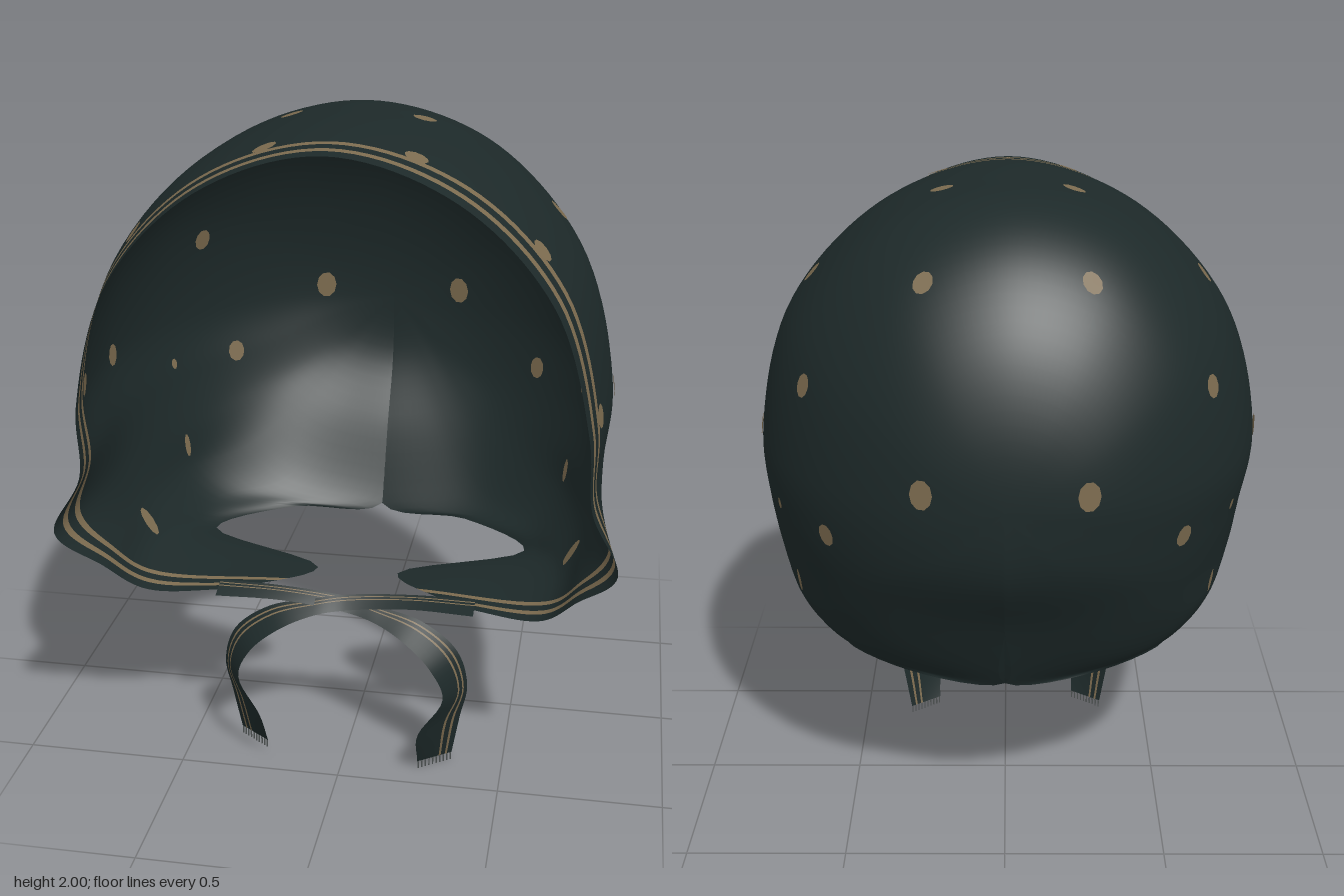
import * as THREE from 'three';

const cloth = new THREE.MeshStandardMaterial({ color: 0x1d2929, side: THREE.DoubleSide });
cloth.name = 'dark green cloth';
const tan = new THREE.MeshStandardMaterial({ color: 0x7c6b4f, side: THREE.DoubleSide });
tan.name = 'tan print';
const thread = new THREE.MeshStandardMaterial({ color: 0x4c5150 });
thread.name = 'grey thread';

const V = (x, y, z) => new THREE.Vector3(x, y, z);
const range = (a, b, n) => Array.from({ length: n + 1 }, (_, i) => a + ((b - a) * i) / n);

// Sheet of rows (v) and columns (u); rows whose middle lies in a band are tan
function sheet(name, point, us, vs, bands) {
  const geo = new THREE.BufferGeometry();
  const pos = [], idx = [], n = us.length;
  for (const v of vs) for (const u of us) pos.push(...point(u, v).toArray());
  for (let j = 0; j < vs.length - 1; j++) {
    const mid = (vs[j] + vs[j + 1]) / 2;
    const start = idx.length;
    for (let i = 0; i < n - 1; i++) {
      const a = j * n + i, b = a + n;
      idx.push(a, a + 1, b, a + 1, b + 1, b);
    }
    geo.addGroup(start, idx.length - start, bands.some(([p, q]) => mid > p && mid < q) ? 1 : 0);
  }
  geo.setAttribute('position', new THREE.Float32BufferAttribute(pos, 3));
  geo.setIndex(idx);
  geo.computeVertexNormals();
  const mesh = new THREE.Mesh(geo, [cloth, tan]);
  mesh.name = name;
  return mesh;
}

// Hood stations from back pole to front rim: z, height above middle, half width, shoulder fullness
const MID = 1.22;
const arches = [
  [-0.59, 0.25, 0.24, 1], [-0.5, 0.48, 0.43, 1], [-0.35, 0.66, 0.6, 1], [-0.15, 0.765, 0.72, 1],
  [0.1, 0.78, 0.778, 1], [0.35, 0.775, 0.768, 0.995], [0.59, 0.75, 0.728, 0.98],
];
// Lower edge of each station: neck edge, jaw, jaw side, cheek and temple points
const lowers = [
  [[0, 1.0, -0.6], [0.1, 1.02, -0.595], [0.15, 1.04, -0.593], [0.19, 1.07, -0.59], [0.225, 1.14, -0.59]],
  [[0, 0.78, -0.48], [0.2, 0.82, -0.48], [0.3, 0.88, -0.487], [0.37, 0.95, -0.49], [0.41, 1.07, -0.497]],
  [[0, 0.54, -0.37], [0.34, 0.62, -0.34], [0.47, 0.74, -0.335], [0.54, 0.88, -0.335], [0.58, 1.04, -0.345]],
  [[0.3, 0.54, -0.29], [0.52, 0.61, -0.2], [0.62, 0.72, -0.17], [0.66, 0.85, -0.15], [0.7, 1.02, -0.15]],
  [[0.52, 0.545, -0.07], [0.61, 0.61, 0.04], [0.69, 0.71, 0.07], [0.735, 0.85, 0.08], [0.757, 1.02, 0.09]],
  [[0.13, 0.53, 0.13], [0.63, 0.6, 0.25], [0.71, 0.7, 0.31], [0.765, 0.84, 0.34], [0.752, 1.02, 0.35]],
  [[0.36, 0.55, 0.36], [0.6, 0.575, 0.45], [0.71, 0.695, 0.54], [0.82, 0.83, 0.62], [0.74, 1.0, 0.595]],
];
const stations = arches.map(([z, h, w, full], k) => {
  const half = lowers[k].map((p) => V(...p));
  const mirror = half.map((p) => V(-p.x, p.y, p.z)).reverse();
  const dome = [0, 30, 60, 90, 120, 150, 180].map((a) => {
    const r = THREE.MathUtils.degToRad(a);
    const f = a % 90 ? full : 1;
    return V(f * w * Math.cos(r) - 0.008, MID + f * h * Math.sin(r), z);
  });
  return new THREE.CatmullRomCurve3([...half, ...dome, ...mirror]);
});

// Lengthwise curve at u; the first point mirrors across the pole to round the back
const columns = new Map();
function hoodPoint(u, v) {
  if (!columns.has(u)) {
    const pts = stations.map((c) => c.getPoint(u));
    const over = V(-pts[0].x, 2 * MID - pts[0].y, pts[0].z);
    columns.set(u, new THREE.CatmullRomCurve3([over, V(0, MID, -0.62), ...pts]));
  }
  return columns.get(u).getPoint((v + 1) / 8);
}

// Printed dot on the inside and outside of the hood, nearest to a target point
function addDot(group, target, rx, ry) {
  let best = Infinity, bu = 0, bv = 0;
  for (const u of range(0.01, 0.99, 160)) {
    for (const v of range(0.3, 6.9, 100)) {
      const d = hoodPoint(u, v).distanceToSquared(target);
      if (d < best) { best = d; bu = u; bv = v; }
    }
  }
  const p = hoodPoint(bu, bv), e = 0.01;
  const du = hoodPoint(bu + e, bv).sub(p), dv = hoodPoint(bu, bv + e).sub(p);
  const normal = du.cross(dv).normalize();
  for (const side of [-1, 1]) {
    const dot = new THREE.Mesh(new THREE.CircleGeometry(1, 10), tan);
    dot.name = 'dot';
    dot.scale.set(rx, ry, 1);
    dot.position.copy(p).addScaledVector(normal, side * 0.004);
    dot.lookAt(dot.position.clone().addScaledVector(normal, side));
    group.add(dot);
  }
}

// Tie ribbon from the opposite jaw, across the chin and down, with a fringed end
function makeTie(s, lift) {
  const tie = new THREE.Group();
  tie.name = s > 0 ? 'leftTie' : 'rightTie';
  const curve = (pts) => new THREE.CatmullRomCurve3(
    pts.map(([x, y, z], i) => V(s * x, y + (lift * i) / 8, z)));
  const upper = curve([[-0.4, 0.565, 0.33], [-0.2, 0.55, 0.31], [0, 0.53, 0.31],
    [0.1, 0.515, 0.33], [0.24, 0.485, 0.35], [0.35, 0.4, 0.36], [0.385, 0.28, 0.36],
    [0.365, 0.17, 0.36], [0.34, 0.025, 0.35]]);
  const lower = curve([[-0.4, 0.545, 0.4], [-0.2, 0.525, 0.36], [0, 0.495, 0.35],
    [0.1, 0.48, 0.38], [0.2, 0.445, 0.43], [0.28, 0.38, 0.46], [0.32, 0.28, 0.46],
    [0.25, 0.17, 0.49], [0.24, 0.025, 0.42]]);
  const point = (u, v) => upper.getPoint(u).lerp(lower.getPoint(u), v);
  tie.add(sheet('ribbon', point, range(0, 1, 48),
    [0, 0.14, 0.2, 0.32, 0.38, 0.7, 1], [[0.14, 0.2], [0.32, 0.38]]));
  for (const v of range(0.03, 0.97, 9)) {
    const strand = new THREE.Mesh(new THREE.BoxGeometry(0.004, 0.025, 0.004), thread);
    strand.name = 'fringe';
    strand.position.copy(point(1, v));
    strand.position.y -= 0.0125;
    tie.add(strand);
  }
  return tie;
}

export function createModel() {
  const model = new THREE.Group();
  model.name = 'tiedHood';

  // Hood shell with two stripes along the front rim
  const rows = [...range(0, 6, 36), 6.16, 6.32, 6.4, 6.48, 6.58, 6.72, 6.82, 6.91, 7];
  model.add(sheet('hood', hoodPoint, range(0, 1, 160), rows, [[6.48, 6.58], [6.72, 6.82]]));

  // Scattered dots, mirrored: position, then optional half width and half height
  const dots = new THREE.Group();
  dots.name = 'dots';
  const spots = [
    [0.23, 1.8, -0.37], [0.6, 1.5, -0.31], [0.23, 1.26, -0.59, 0.034, 0.045],
    [0.53, 1.06, -0.41], [0.21, 1.99, 0.07], [0.6, 1.72, 0.07], [0.77, 1.21, 0.12],
    [0.2, 1.95, 0.455], [0.57, 1.71, 0.455], [0.75, 1.23, 0.46],
    [0.68, 0.66, 0.16, 0.024, 0.052], [0.68, 1.07, -0.21, 0.012, 0.018],
    [0.65, 0.8, -0.18, 0.012, 0.04],
  ];
  for (const s of [-1, 1]) {
    for (const [x, y, z, rx = 0.03, ry = 0.036] of spots) addDot(dots, V(s * x, y, z), rx, ry);
  }
  model.add(dots);

  // Crossed ties under the chin
  model.add(makeTie(1, 0), makeTie(-1, 0.025));
  return model;
}
